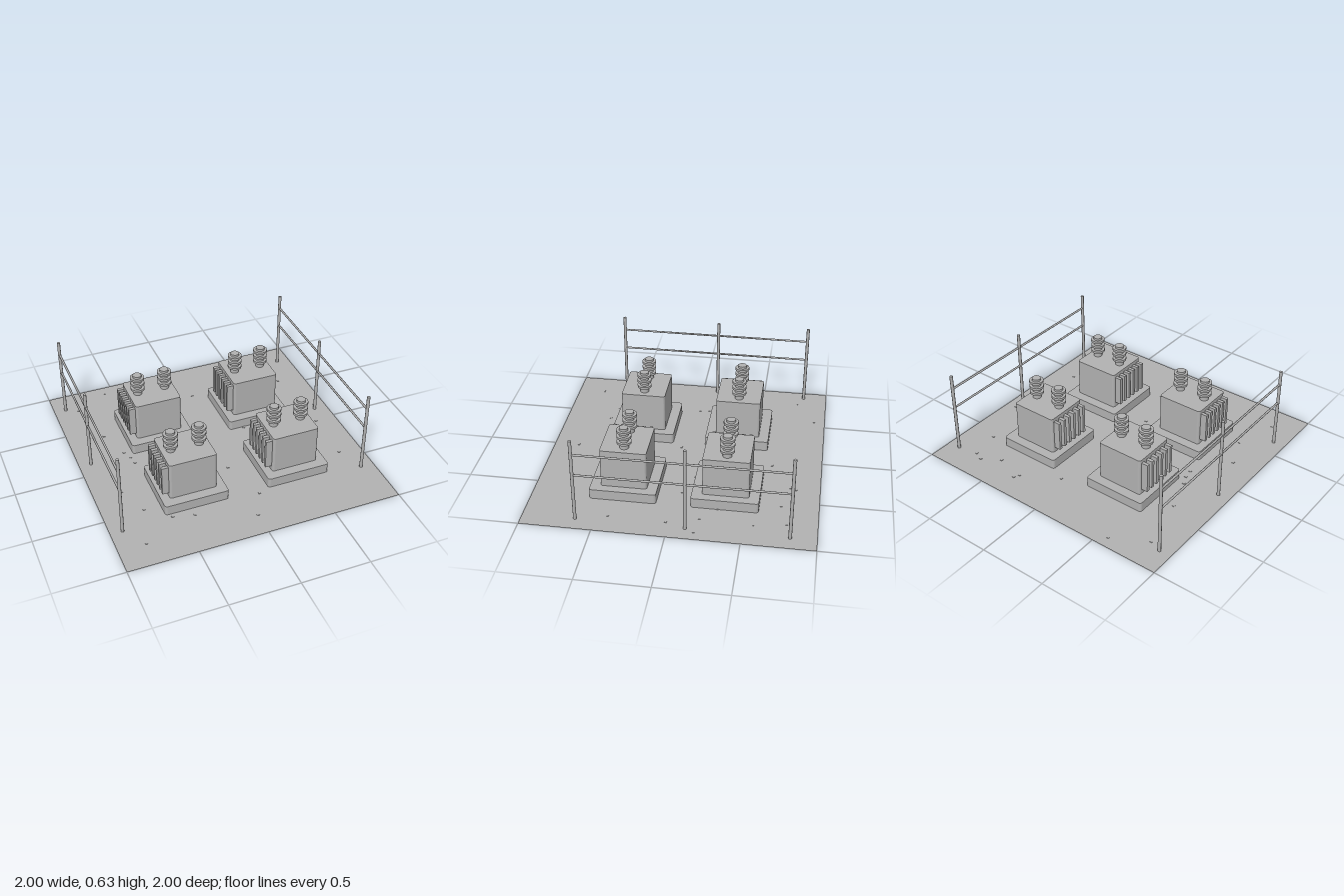
import * as THREE from 'three';

const concreteGrey = new THREE.MeshStandardMaterial({ color: 0xb2b2b2 });
const groundGrey = new THREE.MeshStandardMaterial({ color: 0xb2b2b2, side: THREE.DoubleSide });

function add(parent, name, geometry, x, y, z, material = concreteGrey) {
  const mesh = new THREE.Mesh(geometry, material);
  mesh.name = name;
  mesh.position.set(x, y, z);
  parent.add(mesh);
  return mesh;
}

// Upright block with rounded vertical corners, standing on its base
function roundedBlock(width, depth, height, r) {
  const w = width / 2, d = depth / 2;
  const s = new THREE.Shape();
  s.moveTo(-w + r, -d);
  s.lineTo(w - r, -d);
  s.absarc(w - r, -d + r, r, -Math.PI / 2, 0);
  s.absarc(w - r, d - r, r, 0, Math.PI / 2);
  s.absarc(-w + r, d - r, r, Math.PI / 2, Math.PI);
  s.absarc(-w + r, -d + r, r, Math.PI, Math.PI * 1.5);
  return new THREE.ExtrudeGeometry(s, { depth: height, bevelEnabled: false, curveSegments: 4 })
    .rotateX(-Math.PI / 2);
}

const padGeo = roundedBlock(0.47, 0.47, 0.073, 0.02);
const tankGeo = roundedBlock(0.347, 0.326, 0.289, 0.018);
const finGeo = new THREE.BoxGeometry(0.06, 0.225, 0.024);
const coreGeo = new THREE.CylinderGeometry(0.032, 0.032, 0.164, 16);
const discGeo = new THREE.CylinderGeometry(0.052, 0.052, 0.017, 16);

function transformer() {
  const g = new THREE.Group();
  g.name = 'transformer';
  add(g, 'pad', padGeo, 0, 0, 0);
  add(g, 'tank', tankGeo, 0, 0.072, 0);
  // Cooling fins on the right side
  for (let i = 0; i < 6; i++) add(g, 'coolingFin', finGeo, -0.192, 0.223, (i - 2.5) * 0.0524);
  // Ribbed insulators on top
  for (const x of [-0.104, 0.104]) {
    add(g, 'insulatorCore', coreGeo, x, 0.442, 0);
    for (const y of [0.409, 0.454, 0.498]) add(g, 'insulatorDisc', discGeo, x, y, 0);
  }
  return g;
}

function fence(x) {
  const g = new THREE.Group();
  g.name = 'fence';
  const post = new THREE.CylinderGeometry(0.012, 0.012, 0.625, 8);
  for (const z of [0.632, -0.12, -0.82]) add(g, 'fencePost', post, x, 0.317, z);
  const rail = new THREE.CylinderGeometry(0.008, 0.008, 1.452, 6).rotateX(Math.PI / 2);
  for (const y of [0.362, 0.522]) add(g, 'fenceRail', rail, x, y, -0.094);
  return g;
}

export function createModel() {
  const model = new THREE.Group();
  model.name = 'substationYard';

  add(model, 'ground', new THREE.PlaneGeometry(2, 2).rotateX(-Math.PI / 2), 0, 0, 0, groundGrey);

  for (const x of [-0.355, 0.417]) {
    for (const z of [-0.355, 0.356]) {
      const t = transformer();
      t.position.set(x, 0, z);
      model.add(t);
    }
  }

  model.add(fence(-0.912), fence(0.897));

  // Scattered gravel
  const gravel = [
    [-0.57, -0.92], [-0.82, -0.78], [-0.73, -0.4], [-0.65, -0.16], [-0.62, -0.09], [-0.61, -0.02],
    [-0.07, 0.05], [0.07, -0.64], [0.33, -0.79], [0.35, -0.83], [0.55, -0.74], [0.68, -0.82],
    [0.75, -0.79], [0.79, -0.57], [0.77, -0.2], [0.92, -0.18], [0.84, 0.02], [0.49, -0.04],
    [0.83, 0.42], [0, 0.28], [-0.8, 0.25], [-0.71, 0.48], [-0.55, 0.62], [-0.4, 0.66],
    [0.1, 0.62], [-0.8, 0.8], [0, 0.82], [0.65, -0.31], [0.29, -0.11], [0.52, -0.12],
  ];
  const stone = new THREE.BoxGeometry(0.018, 0.004, 0.016);
  for (const [x, z] of gravel) add(model, 'gravelStone', stone, x, 0.002, z);

  return model;
}
